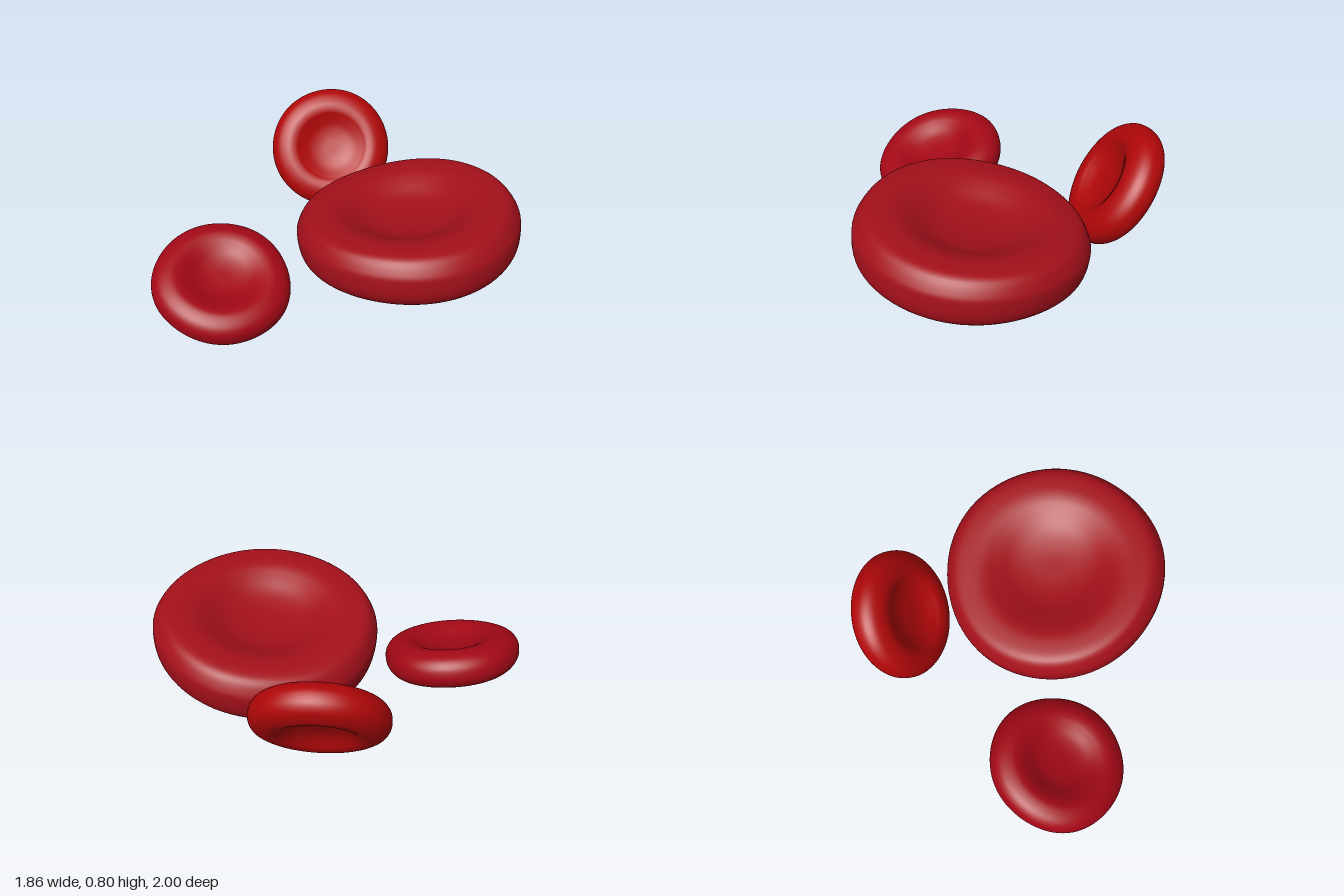
import * as THREE from 'three';
import { mergeVertices } from 'three/addons/utils/BufferGeometryUtils.js';

// One side of the biconcave section, as [radius, height], from the centre to the rim.
function sideProfile(R, t, dimple, fullness) {
  const c = t - dimple; // half thickness at the centre
  return [
    [0, c], [0.18 * R, c + 0.03 * dimple], [0.36 * R, c + 0.25 * dimple],
    [0.52 * R, c + 0.7 * dimple], [R - 1.35 * t, t * 0.98], [R - 0.9 * t, t],
    [R - 0.36 * t, t * (0.72 + fullness)], [R - 0.07 * t, t * (0.36 + fullness * 0.8)],
  ];
}

// Smooth disc with a dimple on each face, slightly uneven around its rim.
// top and bottom are [dimple depth, fullness of the rim]; saddle lifts the front and back.
function cellGeometry({ R, t, top, bottom, equator, saddle, wobble, phase }) {
  const upper = sideProfile(R, t, ...top).reverse();
  const lower = sideProfile(R, t, ...bottom).map(([r, y]) => [r, -y]);
  const pts = [...lower, [R, equator], ...upper].map(([r, y]) => new THREE.Vector2(r, y));
  const section = new THREE.SplineCurve(pts).getPoints(80);
  section.forEach((p) => { p.x = Math.max(p.x, 0); });
  section[0].x = section[section.length - 1].x = 0;
  let g = new THREE.LatheGeometry(section, 80);
  const pos = g.attributes.position;
  for (let i = 0; i < pos.count; i++) {
    const x = pos.getX(i), z = pos.getZ(i);
    const a = Math.atan2(z, x), f = (Math.hypot(x, z) / R) ** 2;
    const s = 1 + wobble * f * (Math.sin(3 * a + phase) + 0.6 * Math.sin(5 * a - phase));
    const lift = f * (saddle * Math.sin(a) ** 2 + 0.5 * wobble * R * Math.sin(3 * a + phase));
    pos.setXYZ(i, x * s, pos.getY(i) + lift, z * s);
  }
  // Weld the seam and poles so the shading is continuous
  g.deleteAttribute('uv');
  g.deleteAttribute('normal');
  g = mergeVertices(g, 1e-5);
  g.computeVertexNormals();
  return g;
}

export function createModel() {
  const group = new THREE.Group();
  const up = new THREE.Vector3(0, 1, 0);
  const cells = [
    { name: 'largeCell', color: 0xa4101b, at: [0.282, 0.397, -0.353], axis: [-0.135, 1, 0],
      shape: { R: 0.648, t: 0.174, top: [0.1, 0.17], bottom: [0.1, 0.03], equator: 0.03, saddle: 0.035, wobble: 0.006, phase: 0.6 } },
    { name: 'frontCell', color: 0xa40817, at: [-0.29, 0.198, 0.595], axis: [0.315, 1, 0.09],
      shape: { R: 0.4, t: 0.108, top: [0.066, 0.04], bottom: [0.06, 0.04], equator: 0, saddle: 0, wobble: 0.009, phase: 2 } },
    { name: 'tiltedCell', color: 0xb00709, at: [-0.625, 0.468, -0.578], axis: [0.65, 0.55, 0.52],
      shape: { R: 0.372, t: 0.107, top: [0.064, 0.04], bottom: [0.062, 0.04], equator: 0, saddle: 0, wobble: 0.003, phase: 1 } },
  ];
  for (const { name, color, at, axis, shape } of cells) {
    const mesh = new THREE.Mesh(cellGeometry(shape), new THREE.MeshStandardMaterial({ color }));
    mesh.name = name;
    mesh.position.set(...at);
    mesh.quaternion.setFromUnitVectors(up, new THREE.Vector3(...axis).normalize());
    group.add(mesh);
  }
  return group;
}
